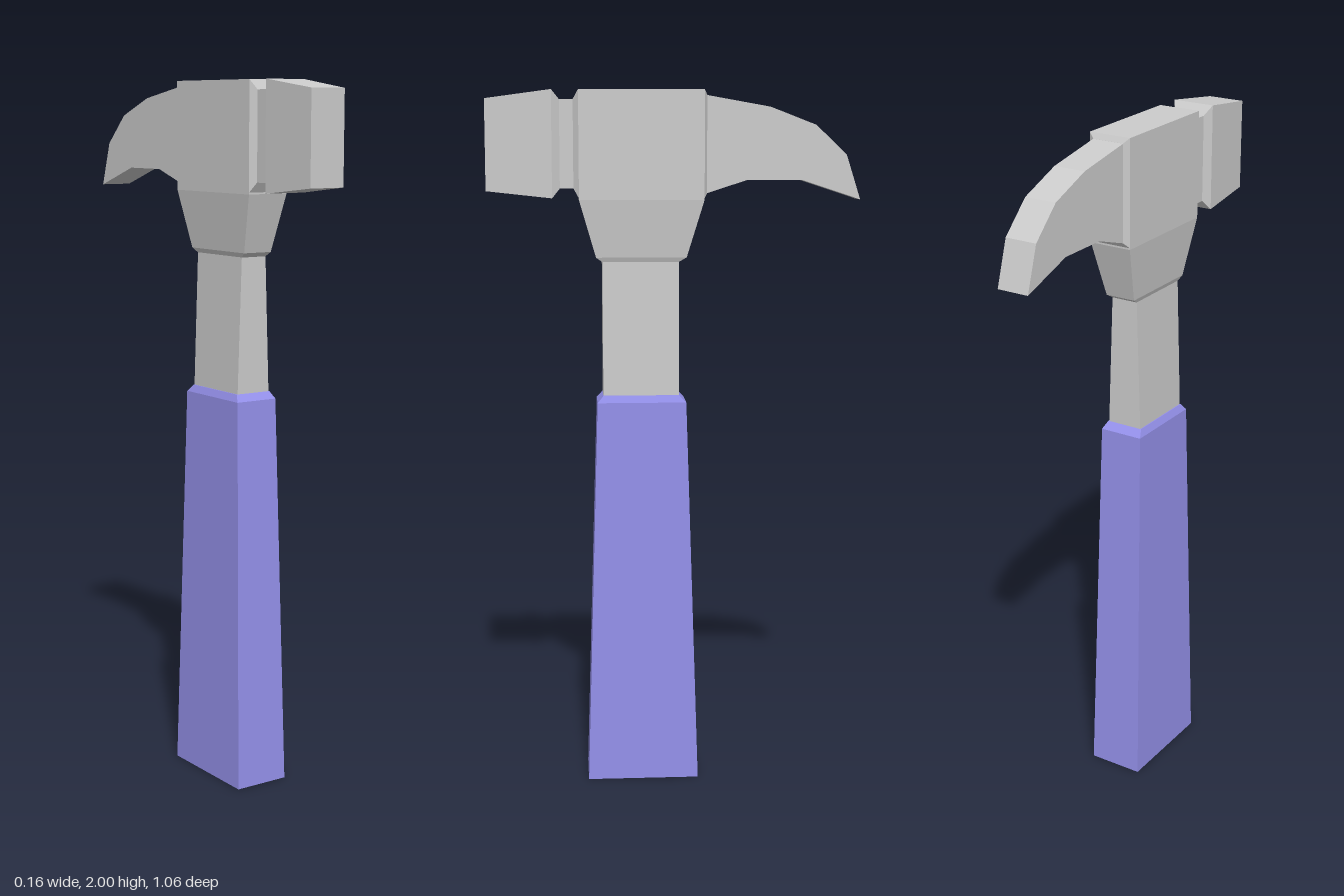
import * as THREE from 'three';

const steel = new THREE.MeshStandardMaterial({ color: 0xcccccc, flatShading: true });
const rubber = new THREE.MeshStandardMaterial({ color: 0x9490ea, flatShading: true });

// Loft of rectangles. Each section is [position on axis, half width in x, low, high],
// where low/high run along z (axis 'y', rising) or along y (axis 'z', going backwards).
function loft(name, axis, sections, material) {
  const rings = sections.map(([p, w, lo, hi]) =>
    [[-w, lo], [-w, hi], [w, hi], [w, lo]].map(([x, v]) => (axis === 'y' ? [x, p, v] : [x, v, p])));
  const positions = [];
  const quad = (a, b, c, d) => positions.push(...a, ...b, ...c, ...a, ...c, ...d);
  for (let i = 0; i < rings.length - 1; i++) {
    for (let j = 0; j < 4; j++) {
      const k = (j + 1) % 4;
      quad(rings[i][j], rings[i][k], rings[i + 1][k], rings[i + 1][j]);
    }
  }
  quad(...[...rings[0]].reverse());
  quad(...rings[rings.length - 1]);
  const geometry = new THREE.BufferGeometry();
  geometry.setAttribute('position', new THREE.Float32BufferAttribute(positions, 3));
  geometry.computeVertexNormals();
  const mesh = new THREE.Mesh(geometry, material);
  mesh.name = name;
  return mesh;
}

// Curved claw: side outline in (z, y), extruded across x
function claw() {
  const outline = [
    [-0.09, 1.985], [-0.27, 1.953], [-0.4, 1.903], [-0.487, 1.82], [-0.527, 1.695],
    [-0.36, 1.75], [-0.205, 1.75], [-0.09, 1.713],
  ].map(([z, y]) => new THREE.Vector2(z, y));
  const width = 0.094;
  const geometry = new THREE.ExtrudeGeometry(new THREE.Shape(outline), { depth: width, bevelEnabled: false });
  geometry.translate(0, 0, -width / 2);
  geometry.rotateY(-Math.PI / 2);
  const mesh = new THREE.Mesh(geometry, steel);
  mesh.name = 'claw';
  return mesh;
}

export function createModel() {
  const hammer = new THREE.Group();
  hammer.name = 'hammer';

  // Tapered grip with a chamfered top edge
  hammer.add(loft('grip', 'y', [
    [0, 0.082, -0.066, 0.256],
    [1.12, 0.065, -0.032, 0.222],
    [1.14, 0.056, -0.012, 0.205],
  ], rubber));

  // Steel shaft between grip and head
  hammer.add(loft('shaft', 'y', [
    [1.14, 0.053, -0.012, 0.205],
    [1.525, 0.04, -0.012, 0.205],
  ], steel));

  const head = new THREE.Group();
  head.name = 'head';
  hammer.add(head);

  // Head block with the flared socket below it
  head.add(loft('headBlock', 'y', [
    [1.52, 0.04, -0.012, 0.205],
    [1.533, 0.045, -0.034, 0.223],
    [1.695, 0.063, -0.083, 0.27],
    [2, 0.063, -0.083, 0.27],
  ], steel));

  // Striking face, flaring after a narrow waist
  head.add(loft('strikingFace', 'z', [
    [0.53, 0.054, 1.72, 1.975],
    [0.345, 0.063, 1.7, 2],
    [0.323, 0.047, 1.727, 1.973],
    [0.285, 0.047, 1.727, 1.973],
    [0.27, 0.063, 1.7, 2],
  ], steel));

  // Chamfered step leading into the claw
  head.add(loft('clawCollar', 'z', [
    [-0.083, 0.063, 1.7, 2],
    [-0.091, 0.047, 1.713, 1.985],
  ], steel));
  head.add(claw());

  return hammer;
}
